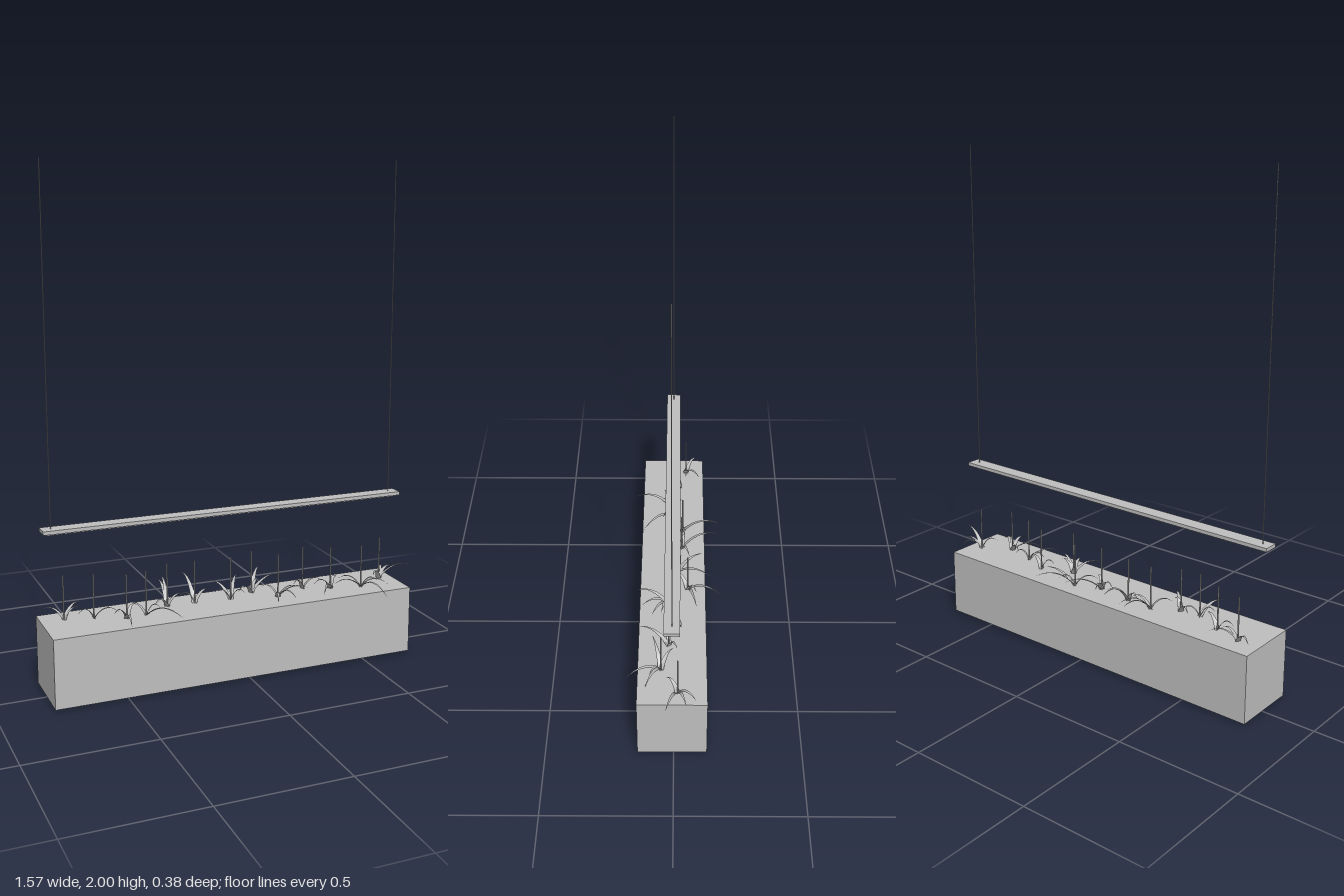
import * as THREE from 'three';

const grey = new THREE.MeshStandardMaterial({ color: 0xbfbfbf });
grey.name = 'light grey';
const leafGrey = new THREE.MeshStandardMaterial({ color: 0xbebebe, side: THREE.DoubleSide });
leafGrey.name = 'leaf grey';

const X0 = -0.785, X1 = 0.71, SOIL = 0.28, MID = (X0 + X1) / 2;

function add(parent, name, geometry, x = 0, y = 0, z = 0, material = grey) {
  const mesh = new THREE.Mesh(geometry, material);
  mesh.name = name;
  mesh.position.set(x, y, z);
  parent.add(mesh);
}

// Arched, pointed blade: a lightly folded strip that follows a curve from base to tip
function bladeGeometry(base, tip) {
  const dir = tip.clone().sub(base).setY(0);
  const side = new THREE.Vector3(-dir.z, 0, dir.x).normalize();
  const control = base.clone().addScaledVector(dir, 0.45);
  control.y = Math.max(tip.y, SOIL + 0.04) + 0.03;
  const curve = new THREE.QuadraticBezierCurve3(base, control, tip);
  const positions = [], index = [], steps = 8;
  for (let i = 0; i <= steps; i++) {
    const t = i / steps;
    const p = curve.getPoint(t);
    const half = 0.011 * (1 - t) + 0.0004;
    for (const s of [-1, 0, 1]) {
      const q = p.clone().addScaledVector(side, s * half);
      positions.push(q.x, q.y - (s === 0 ? half * 0.4 : 0), q.z);
    }
    if (i < steps) {
      for (const k of [0, 1]) {
        const a = i * 3 + k;
        index.push(a, a + 1, a + 3, a + 1, a + 4, a + 3);
      }
    }
  }
  const geometry = new THREE.BufferGeometry();
  geometry.setAttribute('position', new THREE.Float32BufferAttribute(positions, 3));
  geometry.setIndex(index);
  geometry.computeVertexNormals();
  return geometry;
}

// Plant positions along the trough
const plantX = [-0.695, -0.585, -0.47, -0.388, -0.283, -0.17, -0.022, 0.084, 0.165, 0.298, 0.405, 0.53, 0.65];
const plantZ = [-0.05, -0.02, 0.03, 0.02, -0.035, -0.03, -0.015, -0.055, 0.03, -0.02, 0.02, 0.05, -0.015];

// Long blades: plant number, then tip x, y, z
const longBlades = [
  [0, -0.61, 0.32, -0.11],
  [2, -0.495, 0.3, 0.175],
  [3, -0.28, 0.29, 0.135],
  [4, -0.27, 0.34, -0.19],
  [4, -0.253, 0.35, -0.19],
  [5, -0.172, 0.36, -0.185],
  [6, 0.06, 0.33, -0.15],
  [6, -0.08, 0.33, -0.125],
  [7, 0.175, 0.34, -0.185],
  [7, 0.235, 0.33, -0.09],
  [8, 0.11, 0.3, 0.155],
  [8, 0.2, 0.3, 0.13],
  [8, 0.275, 0.32, 0.09],
  [10, 0.32, 0.3, 0.135],
  [11, 0.575, 0.275, 0.19],
  [11, 0.63, 0.29, 0.11],
  [11, 0.39, 0.32, 0.085],
  [12, 0.785, 0.335, 0.03],
  [12, 0.705, 0.3, -0.085],
];

export function createModel() {
  const model = new THREE.Group();
  model.name = 'hangingLightPlanter';

  // Planter trough with a small drain nub below
  add(model, 'planterBox', new THREE.BoxGeometry(X1 - X0, SOIL - 0.006, 0.27), MID, (SOIL + 0.006) / 2, 0.006);
  add(model, 'drainNub', new THREE.CylinderGeometry(0.005, 0.005, 0.008, 12), MID, 0.004, 0.006);

  // Light bar with its slimmer diffuser
  add(model, 'lightBar', new THREE.BoxGeometry(X1 - X0, 0.014, 0.06), MID, 0.654, 0.006);
  add(model, 'lightDiffuser', new THREE.BoxGeometry(X1 - X0 - 0.02, 0.006, 0.045), MID, 0.645, 0.006);

  // Suspension wires
  for (const x of [-0.75, 0.672]) {
    add(model, 'suspensionWire', new THREE.CylinderGeometry(0.0018, 0.0018, 1.342, 8), x, 1.329, 0.006);
  }

  // Row of plants, each with an upright stem, its long blades and two short ones
  plantX.forEach((x, i) => {
    const plant = new THREE.Group();
    plant.name = 'plant';
    const base = new THREE.Vector3(x, SOIL, plantZ[i]);
    add(plant, 'stem', new THREE.CylinderGeometry(0.003, 0.003, 0.175, 6), x, SOIL + 0.0875, base.z);

    const tips = longBlades.filter((blade) => blade[0] === i).map((blade) => new THREE.Vector3(...blade.slice(1)));
    for (const turn of [0, 1]) {
      // Short blades lean mostly along the trough, one to each side
      const angle = turn * Math.PI + Math.sin(i * 2.4 + turn) * 0.7;
      const reach = 0.075 + 0.02 * Math.sin(i * 1.7 + turn * 2);
      tips.push(new THREE.Vector3(x + Math.cos(angle) * reach, SOIL + 0.03, base.z + Math.sin(angle) * reach));
    }
    for (const tip of tips) add(plant, 'leafBlade', bladeGeometry(base, tip), 0, 0, 0, leafGrey);
    model.add(plant);
  });
  return model;
}
